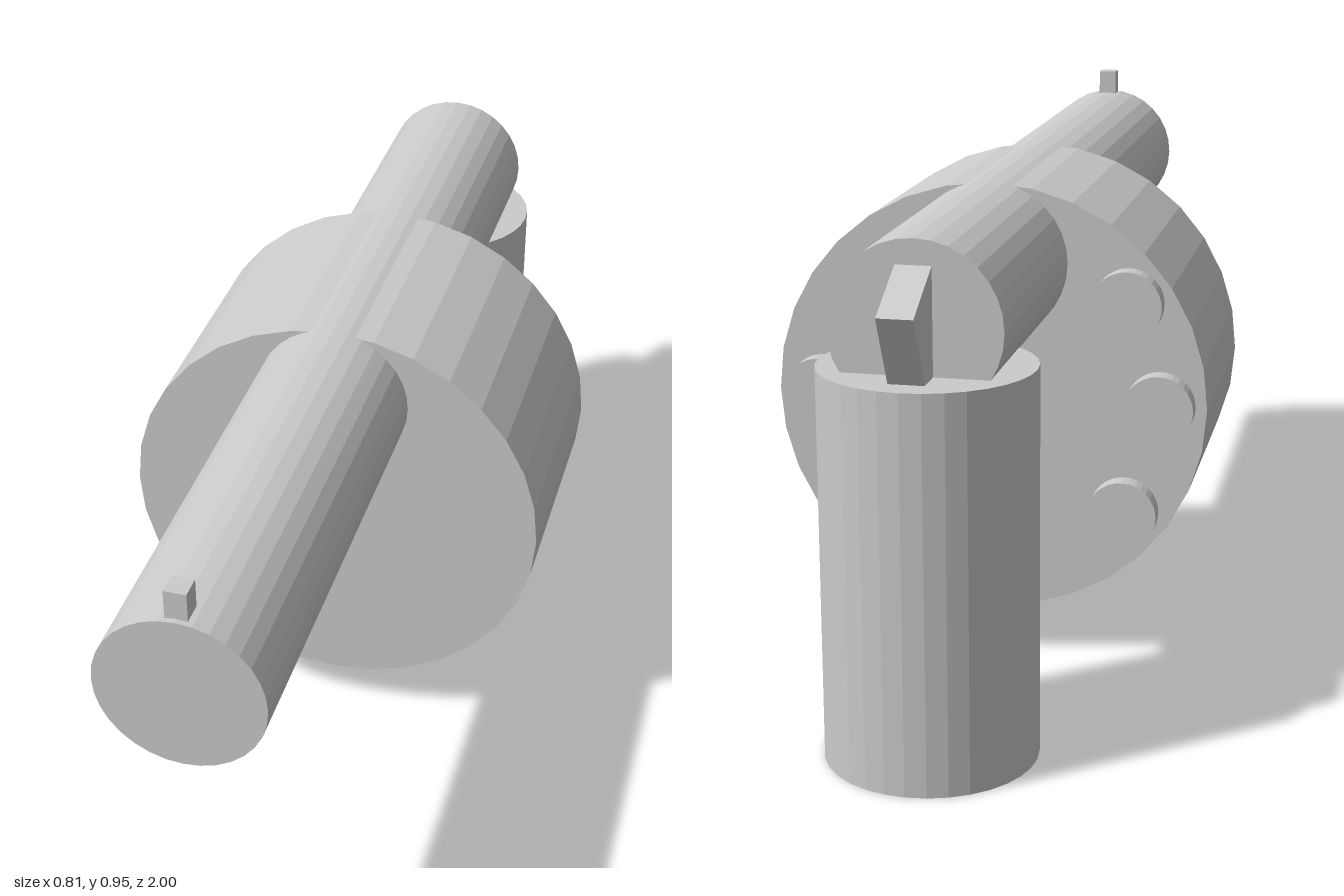
import * as THREE from 'three';

const material = new THREE.MeshStandardMaterial({ color: 0xcccccc, flatShading: true });

export function createModel() {
  const model = new THREE.Group();

  const add = (name, geometry, x, y, z) => {
    const mesh = new THREE.Mesh(geometry, material);
    mesh.name = name;
    mesh.position.set(x, y, z);
    model.add(mesh);
    return mesh;
  };

  // Cylinder lying along z between two depths
  const rod = (name, radius, x, y, zBack, zFront) => {
    const geometry = new THREE.CylinderGeometry(radius, radius, zFront - zBack, 32);
    geometry.rotateX(Math.PI / 2);
    return add(name, geometry, x, y, (zBack + zFront) / 2);
  };

  // Long barrel and the big drum below it
  rod('barrel', 0.146, 0, 0.757, -0.885, 1);
  rod('drum', 0.405, 0, 0.495, -0.35, 0.13);

  // Round caps on the back of the drum
  const caps = [
    [-0.26, 0.69], [-0.32, 0.5], [-0.255, 0.295], [0, 0.208],
    [0.235, 0.295], [0.32, 0.5], [0.225, 0.69],
  ];
  caps.forEach(([x, y]) => rod('chamberCap', 0.064, x, y, -0.387, -0.33));

  // Upright grip
  add('grip', new THREE.CylinderGeometry(0.183, 0.183, 0.68, 32), 0, 0.34, -0.803);

  // Front sight
  add('frontSight', new THREE.BoxGeometry(0.038, 0.07, 0.04), 0, 0.918, 0.97);

  // Tilted hammer at the back, its upper rear corner reaching furthest
  const tilt = 0.48, depth = 0.16, height = 0.2;
  const hammer = add(
    'hammer', new THREE.BoxGeometry(0.06, height, depth), 0,
    0.8 + (depth * Math.sin(tilt) - height * Math.cos(tilt)) / 2,
    -1 + (depth * Math.cos(tilt) + height * Math.sin(tilt)) / 2,
  );
  hammer.rotation.x = -tilt;

  return model;
}
